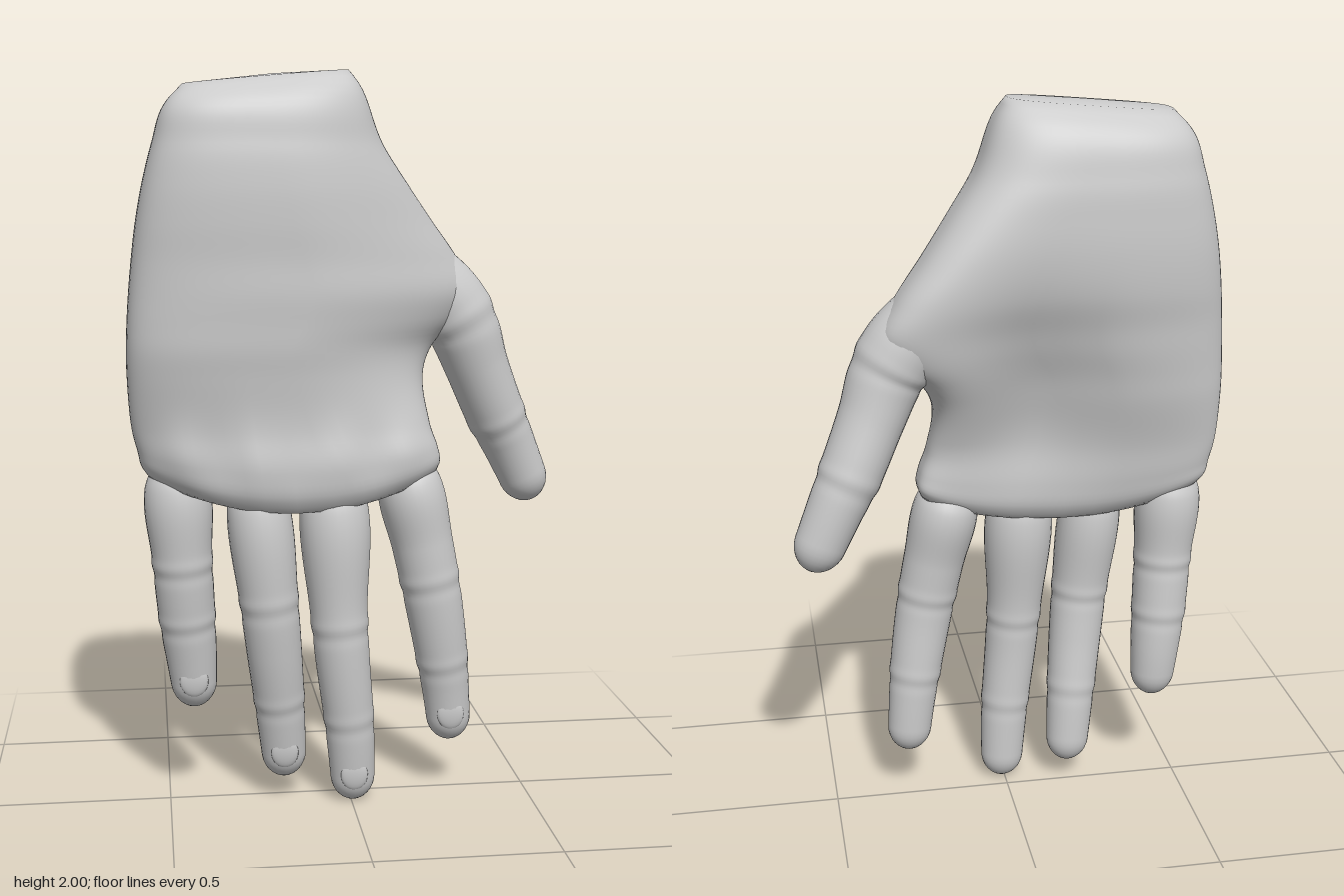
import * as THREE from 'three';

const material = new THREE.MeshStandardMaterial({ color: 0xcccccc });
const V = (x, y, z) => new THREE.Vector3(x, y, z);
const bell = (x, c, w) => Math.exp(-(((x - c) / w) ** 2));

// Smooth closed skin over a stack of rings, with a pole at each end
function loft(name, rings, startPole, endPole) {
  const n = rings[0].length, index = [];
  const points = [...rings.flat(), startPole, endPole];
  const start = points.length - 2, end = start + 1, last = (rings.length - 1) * n;
  for (let j = 0; j < n; j++) {
    const k = (j + 1) % n;
    index.push(start, k, j, end, last + j, last + k);
    for (let i = 0; i < rings.length - 1; i++) {
      const a = i * n + j, b = i * n + k;
      index.push(a, b, a + n, b, b + n, a + n);
    }
  }
  const geometry = new THREE.BufferGeometry().setFromPoints(points);
  geometry.setIndex(index);
  geometry.computeVertexNormals();
  const mesh = new THREE.Mesh(geometry, material);
  mesh.name = name;
  return mesh;
}

// Smooth interpolation through rows of numbers
function smoothRows(keys, rows) {
  const size = rows[0].length;
  const it = new THREE.CubicInterpolant(keys, rows.flat(), size, new Float32Array(size));
  return t => Array.from(it.evaluate(t));
}

// Finger through rows [x, y, z, half width, half depth]; the last row is the tip.
// Each joint height gets a small stepped fold.
function digit(name, joints, rows, nail) {
  const keys = [0];
  for (let i = 1; i < rows.length; i++) {
    const [a, b] = [rows[i - 1], rows[i]];
    keys.push(keys[i - 1] + Math.hypot(b[0] - a[0], b[1] - a[1], b[2] - a[2]));
  }
  const at = smoothRows(keys, rows), L = keys.at(-1), cap = rows.at(-1)[3] * 1.15;
  const frame = s => {
    const p = at(s), q = at(Math.min(s + 0.004, L)), o = at(Math.max(s - 0.004, 0));
    const t = V(q[0] - o[0], q[1] - o[1], q[2] - o[2]).normalize();
    const u = V(0, 0, 1).cross(t).normalize();
    return { c: V(p[0], p[1], p[2]), t, u, v: t.clone().cross(u), rx: p[3], rz: p[4] };
  };
  const ring = (s, scale) => {
    const { c, u, v, rx, rz } = frame(s);
    let f = scale;
    for (const y of joints) f += 0.028 * (bell(c.y, y + 0.012, 0.018) - bell(c.y, y - 0.012, 0.018));
    return Array.from({ length: 28 }, (_, j) => {
      const a = j / 28 * Math.PI * 2;
      return c.clone().addScaledVector(u, rx * f * Math.cos(a)).addScaledVector(v, rz * f * Math.sin(a));
    });
  };
  const rings = [];
  for (let i = 0; i < 90; i++) rings.push(ring((L - cap) * i / 90, 1));
  for (let i = 0; i < 8; i++) {
    const a = i / 8 * Math.PI / 2;
    rings.push(ring(L - cap + cap * Math.sin(a), Math.cos(a)));
  }
  const group = new THREE.Group();
  group.name = name;
  group.add(loft(name + 'Skin', rings, frame(0).c, frame(L).c));
  if (nail) {
    const { c, t, u, v, rx, rz } = frame(L - 0.09);
    const plate = new THREE.Mesh(new THREE.SphereGeometry(1, 20, 12), material);
    plate.name = name + 'Nail';
    plate.quaternion.setFromRotationMatrix(new THREE.Matrix4().makeBasis(u, t.clone().negate(), v));
    plate.position.copy(c).addScaledVector(v, rz * 0.83);
    plate.scale.set(rx * 0.6, 0.045, 0.012);
    group.add(plate);
  }
  return group;
}

// Palm, wrist stump and thumb web
// rows: [y, left x, right x, front z, back z, arch, edge lift, right edge z shift, front right roundness]
function palm() {
  const rows = [
    [1.975, -0.44, 0.00, 0.10, -0.06, 0, 0, 0, 0.7],
    [1.93, -0.478, 0.035, 0.165, -0.12, 0, 0, 0, 0.75],
    [1.80, -0.522, 0.095, 0.205, -0.165, 0, 0, -0.02, 0.8],
    [1.70, -0.548, 0.165, 0.215, -0.175, 0, 0, -0.045, 0.85],
    [1.60, -0.567, 0.238, 0.215, -0.178, 0, 0, -0.065, 0.95],
    [1.50, -0.58, 0.312, 0.21, -0.172, 0, 0, -0.08, 1.05],
    [1.41, -0.589, 0.355, 0.205, -0.16, 0.005, 0, -0.085, 1.12],
    [1.34, -0.594, 0.32, 0.20, -0.15, 0.005, 0, -0.075, 1.1],
    [1.27, -0.597, 0.245, 0.19, -0.14, 0.01, 0, -0.055, 1.0],
    [1.20, -0.597, 0.21, 0.175, -0.13, 0.015, 0, -0.03, 0.88],
    [1.05, -0.588, 0.22, 0.145, -0.10, 0.03, 0.01, 0, 0.7],
    [0.94, -0.572, 0.242, 0.14, -0.09, 0.04, 0.05, 0, 0.6],
    [0.87, -0.562, 0.248, 0.125, -0.08, 0.05, 0.08, 0, 0.55],
    [0.835, -0.545, 0.238, 0.105, -0.055, 0.05, 0.09, 0, 0.55],
  ];
  const at = smoothRows(rows.map(r => 2 - r[0]), rows);
  const soft = (v, p) => Math.sign(v) * Math.abs(v) ** p;
  const rings = [];
  for (let i = 0; i <= 72; i++) {
    const [y, xl, xr, zf, zb, arch, lift, shift, round] = at(0.025 + 1.14 * i / 72);
    rings.push(Array.from({ length: 80 }, (_, j) => {
      const a = j / 80 * Math.PI * 2, s = Math.sin(a), c = Math.cos(a);
      const p = c < 0 ? 0.62 : s > 0 ? round : Math.min(round, 0.72);
      const u = soft(c, p);
      const x = (xl + xr) / 2 + u * (xr - xl) / 2;
      let z = (zf + zb) / 2 + soft(s, p) * (zf - zb) / 2 + arch * (1 - u * u);
      z += shift * Math.max(u, 0) ** 2 - 0.04 * (x + 0.2) * THREE.MathUtils.smoothstep(y, 0.95, 1.3);
      // Hollow of the palm on the back, knuckle ridges on the front
      if (s < 0) z -= s * 0.075 * bell(x, -0.06, 0.18) * bell(y, 1.2, 0.25);
      else for (const k of [-0.46, -0.25, -0.05, 0.15]) z += s * 0.018 * bell(x, k, 0.06) * bell(y, 0.97, 0.1);
      const slope = 0.02 * u * THREE.MathUtils.smoothstep(y, 1.85, 1.97);
      return V(x, y + slope + lift * u * u, z);
    }));
  }
  return loft('palm', rings, V(-0.2, 1.985, 0.02), V(-0.15, 0.83, 0.075));
}

export function createModel() {
  const hand = new THREE.Group();
  hand.name = 'hand';
  hand.add(palm());

  hand.add(digit('littleFinger', [0.67, 0.51], [
    [-0.47, 0.96, 0.03, 0.06, 0.05], [-0.468, 0.89, 0.033, 0.088, 0.082],
    [-0.458, 0.70, 0.032, 0.082, 0.081], [-0.446, 0.52, 0.015, 0.077, 0.075],
    [-0.435, 0.40, 0.003, 0.069, 0.066], [-0.425, 0.265, -0.005, 0.057, 0.05],
  ], true));
  hand.add(digit('ringFinger', [0.57, 0.28], [
    [-0.262, 0.93, 0.07, 0.065, 0.05], [-0.252, 0.83, 0.077, 0.086, 0.084],
    [-0.226, 0.58, 0.083, 0.080, 0.078], [-0.212, 0.44, 0.068, 0.076, 0.073],
    [-0.195, 0.27, 0.04, 0.069, 0.066], [-0.178, 0.06, 0.012, 0.058, 0.05],
  ], true));
  hand.add(digit('middleFinger', [0.5, 0.23], [
    [-0.055, 0.93, 0.075, 0.07, 0.05], [-0.048, 0.83, 0.08, 0.094, 0.087],
    [-0.036, 0.55, 0.09, 0.079, 0.078], [-0.026, 0.42, 0.089, 0.075, 0.073],
    [-0.004, 0.21, 0.076, 0.068, 0.064], [0.009, 0.0, 0.06, 0.058, 0.05],
  ], true));
  hand.add(digit('indexFinger', [0.61, 0.37], [
    [0.15, 0.96, 0.03, 0.06, 0.05], [0.164, 0.89, 0.035, 0.088, 0.09],
    [0.202, 0.72, 0.042, 0.085, 0.083], [0.230, 0.58, 0.042, 0.081, 0.076],
    [0.264, 0.38, 0.025, 0.072, 0.069], [0.276, 0.29, 0.017, 0.066, 0.062],
    [0.291, 0.145, 0.008, 0.059, 0.052],
  ], true));
  // Thumb, rooted inside the web
  hand.add(digit('thumb', [1.32, 1.03], [
    [0.10, 1.60, -0.06, 0.05, 0.06], [0.205, 1.475, -0.075, 0.09, 0.09],
    [0.29, 1.375, -0.08, 0.106, 0.102], [0.333, 1.305, -0.082, 0.101, 0.098],
    [0.375, 1.20, -0.097, 0.090, 0.091], [0.445, 1.04, -0.128, 0.083, 0.086],
    [0.48, 0.97, -0.14, 0.076, 0.077], [0.558, 0.8, -0.158, 0.065, 0.058],
  ], false));
  return hand;
}
